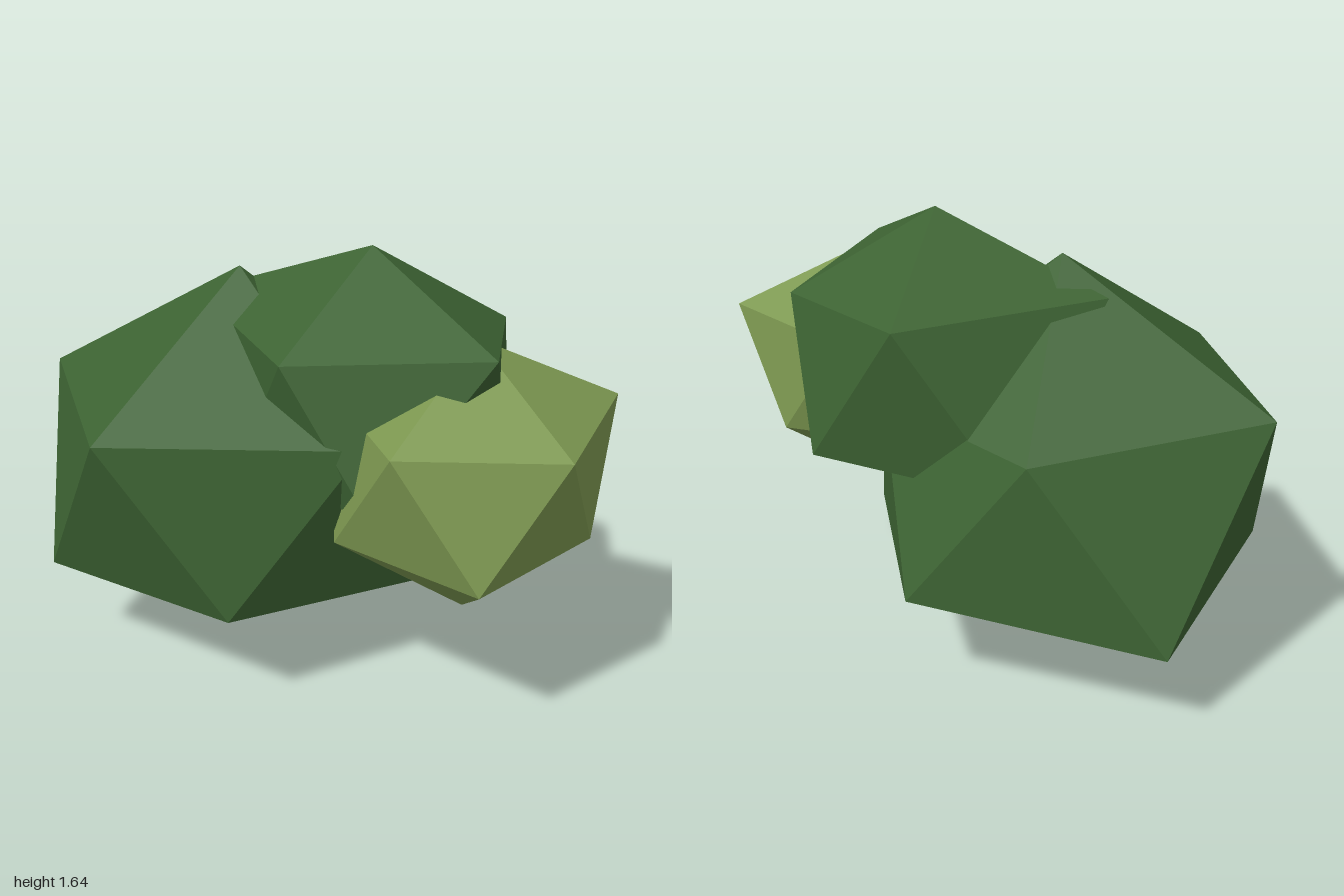
import * as THREE from 'three';

// Faceted leaf clump: an upright icosahedron, squashed in height,
// with each corner pushed in or out from the centre by its own factor.
function clump(name, material, center, ring, squash, f) {
  const R = ring / 0.8944;
  const at = (k, r, y, deg) => {
    const a = THREE.MathUtils.degToRad(deg);
    return [k * r * R * Math.cos(a), k * y * R * squash, k * r * R * Math.sin(a)];
  };
  const top = at(f.top, 0, 1, 0);
  const bottom = at(f.bottom, 0, -1, 0);
  const upper = f.upper.map((k, i) => at(k, 0.8944, 0.4472, i * 72));
  const lower = f.lower.map((k, i) => at(k, 0.8944, -0.4472, 36 + i * 72));

  const pos = [];
  for (let i = 0; i < 5; i++) {
    const j = (i + 1) % 5;
    pos.push(...top, ...upper[j], ...upper[i]);
    pos.push(...upper[i], ...upper[j], ...lower[i]);
    pos.push(...lower[i], ...upper[j], ...lower[j]);
    pos.push(...bottom, ...lower[i], ...lower[j]);
  }
  const geo = new THREE.BufferGeometry();
  geo.setAttribute('position', new THREE.Float32BufferAttribute(pos, 3));
  geo.computeVertexNormals();
  const mesh = new THREE.Mesh(geo, material);
  mesh.name = name;
  mesh.position.set(...center);
  return mesh;
}

export function createModel() {
  const group = new THREE.Group();
  group.name = 'bush';

  const darkLeaf = new THREE.MeshStandardMaterial({ color: 0x3c6232, flatShading: true });
  darkLeaf.name = 'dark leaf green';
  const lightLeaf = new THREE.MeshStandardMaterial({ color: 0x7c9750, flatShading: true });
  lightLeaf.name = 'light leaf green';

  // Large clump resting on the ground
  group.add(clump('mainFoliage', darkLeaf, [-0.22, 0.72, -0.2], 0.8, 0.85, {
    top: 1.065, bottom: 0.946,
    upper: [0.8, 1.0, 0.985, 1.02, 0.76],
    lower: [1.02, 0.89, 0.975, 1.05, 0.91],
  }));

  // Medium clump on top
  group.add(clump('upperFoliage', darkLeaf, [0.21, 1.087, 0.07], 0.54, 0.9, {
    top: 1.02, bottom: 1.0,
    upper: [1.0, 1.28, 0.99, 1.31, 1.07],
    lower: [1.0, 1.08, 0.93, 1.3, 1.08],
  }));

  // Small light clump at the front
  group.add(clump('frontFoliage', lightLeaf, [0.44, 0.915, 0.51], 0.5, 0.85, {
    top: 1.04, bottom: 1.15,
    upper: [1.12, 0.98, 1.01, 1.0, 0.95],
    lower: [0.88, 1.03, 1.0, 1.0, 0.94],
  }));

  return group;
}
